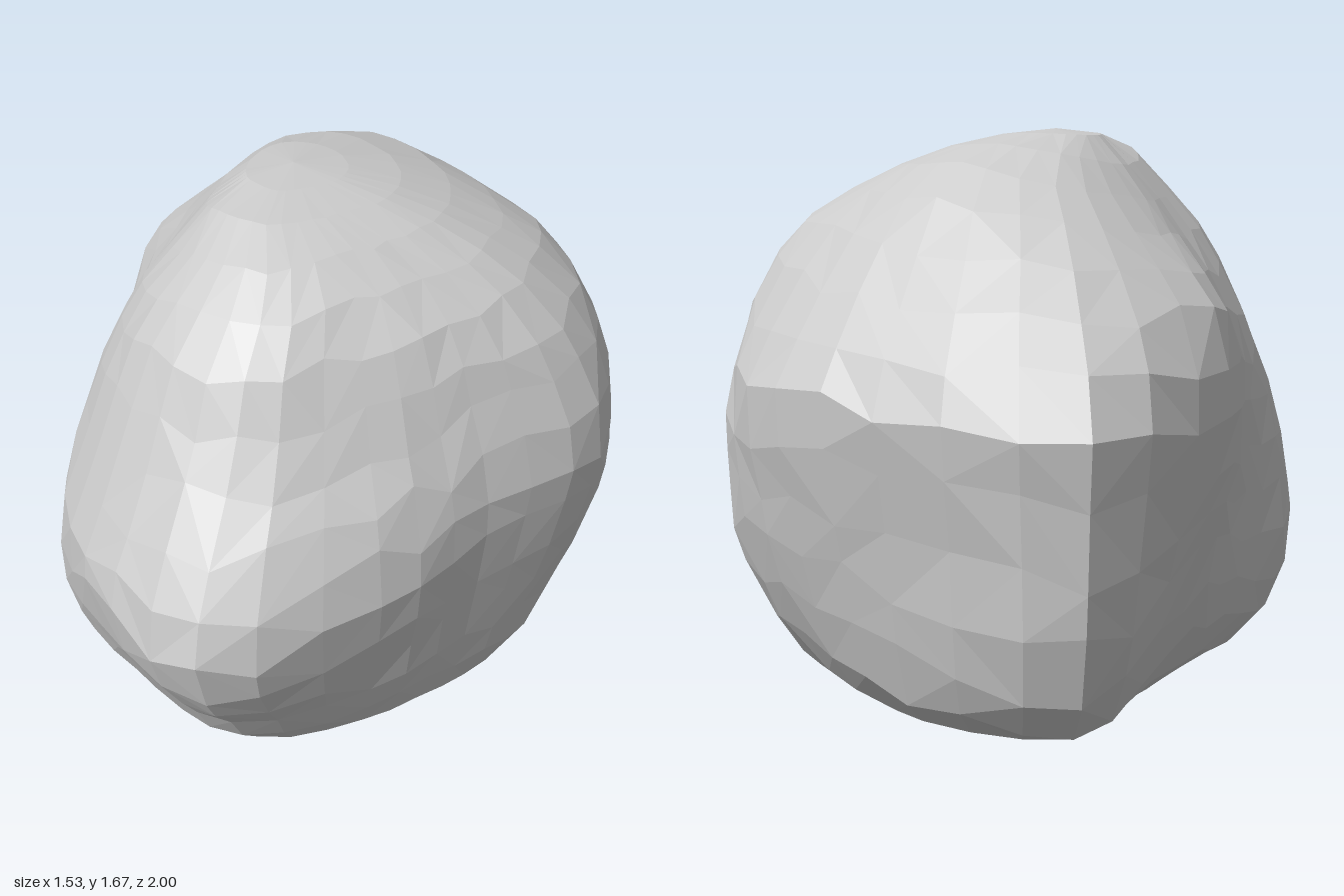
import * as THREE from 'three';

// Horizontal cross-sections: height, then radii every 30 degrees from +x towards +z
const SECTIONS = [
  { y: 0.05, r: [0.44, 0.40, 0.39, 0.43, 0.42, 0.38, 0.34, 0.37, 0.42, 0.46, 0.44, 0.45] },
  { y: 0.20, r: [0.62, 0.54, 0.56, 0.66, 0.65, 0.69, 0.54, 0.57, 0.90, 0.78, 0.69, 0.69] },
  { y: 0.40, r: [0.68, 0.60, 0.65, 0.79, 0.75, 0.79, 0.63, 0.67, 1.03, 0.86, 0.80, 0.80] },
  { y: 0.60, r: [0.74, 0.63, 0.72, 0.94, 0.83, 0.79, 0.65, 0.73, 1.06, 0.89, 0.86, 0.87] },
  { y: 0.80, r: [0.79, 0.66, 0.76, 1.00, 0.85, 0.76, 0.66, 0.80, 1.08, 0.93, 0.90, 0.87] },
  { y: 1.00, r: [0.81, 0.66, 0.72, 0.89, 0.76, 0.69, 0.65, 0.83, 1.10, 0.96, 0.92, 0.84] },
  { y: 1.20, r: [0.75, 0.59, 0.59, 0.70, 0.67, 0.61, 0.58, 0.78, 0.95, 0.84, 0.81, 0.79] },
  { y: 1.40, r: [0.61, 0.51, 0.50, 0.59, 0.57, 0.50, 0.45, 0.55, 0.72, 0.68, 0.66, 0.66] },
  { y: 1.55, r: [0.39, 0.34, 0.36, 0.43, 0.41, 0.36, 0.33, 0.38, 0.49, 0.53, 0.46, 0.41] },
];
const CENTER_X = -0.05;
const AROUND = 36;
const UP = 19;

// Repeatable noise between -1 and 1
function makeNoise(seed) {
  let s = seed;
  return () => {
    s = (s * 16807) % 2147483647;
    return (s / 2147483647) * 2 - 1;
  };
}

// Smooth closed outline through one cross-section
function outline({ y, r }, scale = 1, shiftX = 0) {
  const points = r.map((radius, i) => {
    const a = (i / r.length) * Math.PI * 2;
    return new THREE.Vector3(
      CENTER_X + shiftX + Math.cos(a) * radius * scale, y, Math.sin(a) * radius * scale);
  });
  return new THREE.CatmullRomCurve3(points, true);
}

function boulderGeometry() {
  const noise = makeNoise(71);
  const first = SECTIONS[0];
  const last = SECTIONS[SECTIONS.length - 1];

  // Flattened rings close the base and the crown
  const outlines = [
    outline({ y: 0.01, r: first.r }, 0.55),
    ...SECTIONS.map((s) => outline(s)),
    outline({ y: 1.64, r: last.r }, 0.55, -0.07),
  ];
  const bottom = new THREE.Vector3(0, 0, 0.05);
  const top = new THREE.Vector3(-0.15, 1.67, -0.05);

  // Meridians run from base to crown, with uneven spacing except near the ends
  const columns = [];
  for (let i = 0; i < AROUND; i++) {
    const t = i / AROUND;
    const meridian = new THREE.CatmullRomCurve3(
      [bottom, ...outlines.map((o) => o.getPoint(t)), top]);
    const column = [];
    for (let j = 1; j < UP; j++) {
      const jitter = 0.3 * Math.sin((j / UP) * Math.PI) ** 2;
      const p = meridian.getPointAt((j + noise() * jitter) / UP);
      const swell = 1 + noise() * 0.006;
      p.x = CENTER_X + (p.x - CENTER_X) * swell;
      p.z *= swell;
      column.push(p);
    }
    columns.push(column);
  }

  // Facets, with the diagonals alternating irregularly
  const positions = [];
  const face = (...corners) => corners.forEach((p) => positions.push(p.x, p.y, p.z));
  for (let i = 0; i < AROUND; i++) {
    const a = columns[i];
    const b = columns[(i + 1) % AROUND];
    face(bottom, a[0], b[0]);
    face(top, b[UP - 2], a[UP - 2]);
    for (let j = 0; j < UP - 2; j++) {
      if (noise() > 0) {
        face(a[j], a[j + 1], b[j]);
        face(b[j], a[j + 1], b[j + 1]);
      } else {
        face(a[j], a[j + 1], b[j + 1]);
        face(a[j], b[j + 1], b[j]);
      }
    }
  }
  const geometry = new THREE.BufferGeometry();
  geometry.setAttribute('position', new THREE.Float32BufferAttribute(positions, 3));
  geometry.computeVertexNormals();
  return geometry;
}

export function createModel() {
  const group = new THREE.Group();
  group.name = 'rock';
  const boulder = new THREE.Mesh(
    boulderGeometry(),
    new THREE.MeshStandardMaterial({ color: 0xcccccc, flatShading: true }));
  boulder.name = 'boulder';
  group.add(boulder);
  return group;
}
